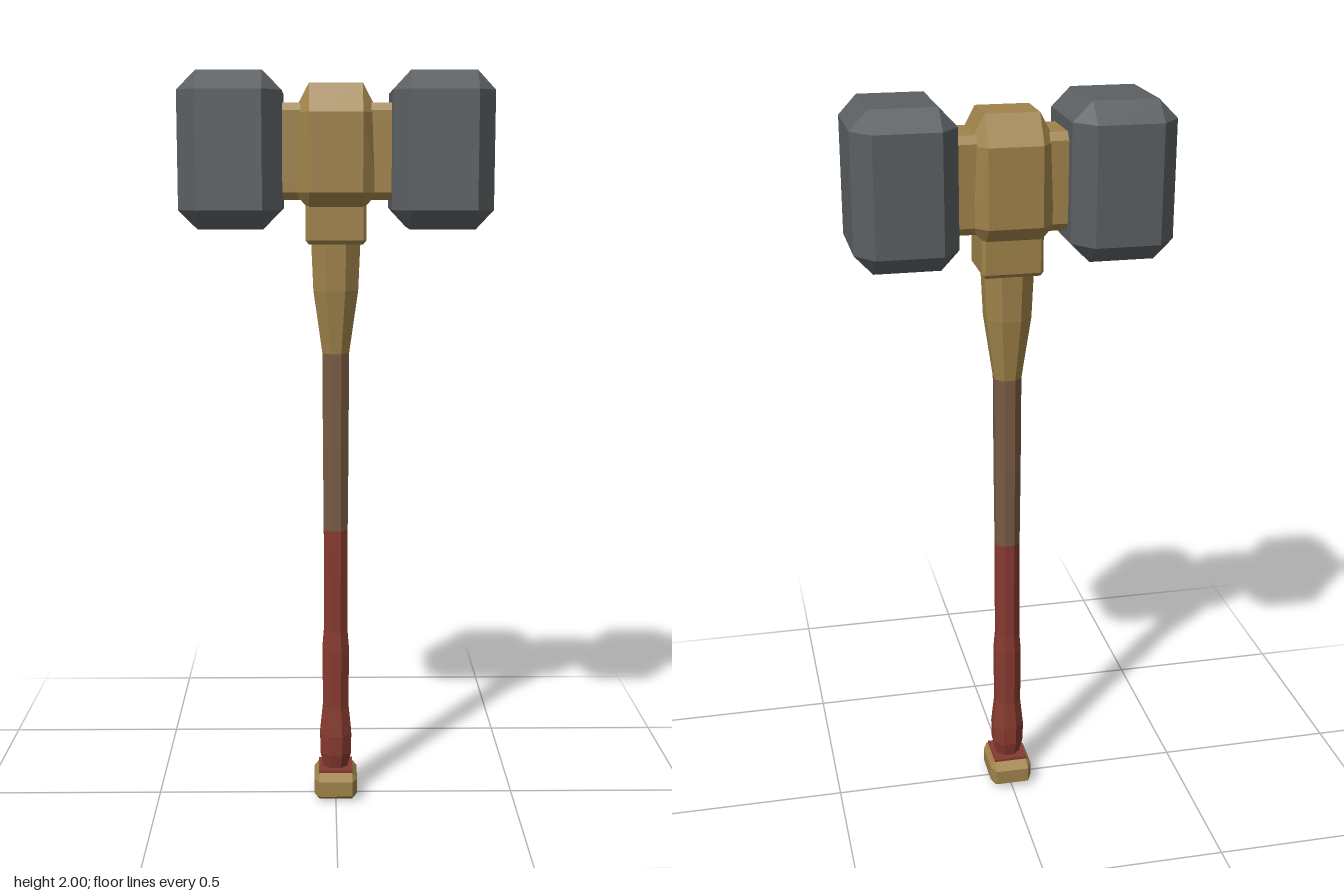
import * as THREE from 'three';
import { ConvexGeometry } from 'three/addons/geometries/ConvexGeometry.js';

const mat = (name, color) => {
  const m = new THREE.MeshStandardMaterial({ color });
  m.name = name;
  return m;
};

// Box with bevelled edges and triangular corners; min, max and bevel are [x, y, z].
// bottomBevel, if given, replaces the bevel of the lower corners.
function bevelBox(min, max, bevel, bottomBevel = bevel) {
  const points = [];
  for (const sx of [0, 1]) for (const sy of [0, 1]) for (const sz of [0, 1]) {
    const side = [sx, sy, sz];
    const cut = sy ? bevel : bottomBevel;
    for (let axis = 0; axis < 3; axis++) {
      const p = side.map((s, i) => {
        const inset = i === axis ? 0 : cut[i];
        return s ? max[i] - inset : min[i] + inset;
      });
      points.push(new THREE.Vector3(...p));
    }
  }
  return new ConvexGeometry(points);
}

// Eight-sided turned section with flats facing front; profile is [half width, y].
function octagonal(profile) {
  const k = 1 / Math.cos(Math.PI / 8);
  const pts = profile.map(([r, y]) => new THREE.Vector2(r * k, y));
  const g = new THREE.LatheGeometry(pts, 8, Math.PI / 8).toNonIndexed();
  g.computeVertexNormals();
  return g;
}

export function createModel() {
  const model = new THREE.Group();
  model.name = 'warHammer';
  const steel = mat('darkSteel', 0x5c6063);
  const brass = mat('brass', 0xa0834a);
  const wood = mat('brownWood', 0x785b43);
  const leather = mat('redLeather', 0x873a2f);
  const add = (name, geometry, material) => {
    const mesh = new THREE.Mesh(geometry, material);
    mesh.name = name;
    model.add(mesh);
  };

  // Striking heads
  add('rightHead', bevelBox([-0.41, 1.595, -0.172], [-0.14, 2, 0.17], [0.05, 0.05, 0.06]), steel);
  add('leftHead', bevelBox([0.145, 1.595, -0.172], [0.41, 2, 0.172], [0.047, 0.05, 0.06]), steel);

  // Central block and the bar joining it to the heads
  add('centreBlock', bevelBox([-0.11, 1.645, -0.113], [0.11, 1.97, 0.113],
    [0.04, 0.075, 0.05], [0.04, 0.045, 0.04]), brass);
  add('headBar', bevelBox([-0.16, 1.67, -0.083], [0.16, 1.92, 0.083], [0.01, 0.02, 0.015]), brass);

  // Collar under the block
  add('collar', bevelBox([-0.08, 1.555, -0.08], [0.08, 1.68, 0.08], [0.008, 0.01, 0.008]), brass);

  // Shaft sections
  add('neck', octagonal([[0.036, 1.26], [0.06, 1.43], [0.066, 1.57]]), brass);
  add('shaft', octagonal([[0.033, 0.77], [0.035, 1], [0.036, 1.26]]), wood);
  add('grip', octagonal([[0.03, 0.07], [0.036, 0.095], [0.043, 0.125], [0.044, 0.18],
    [0.036, 0.26], [0.037, 0.43], [0.033, 0.48], [0.033, 0.77]]), leather);

  // Pommel with its leather pad
  add('pommel', bevelBox([-0.06, 0, -0.08], [0.06, 0.078, 0.08], [0.014, 0.018, 0.03]), brass);
  const pad = new THREE.BoxGeometry(0.094, 0.008, 0.104);
  pad.translate(0, 0.08, 0);
  add('pommelPad', pad, leather);

  return model;
}
